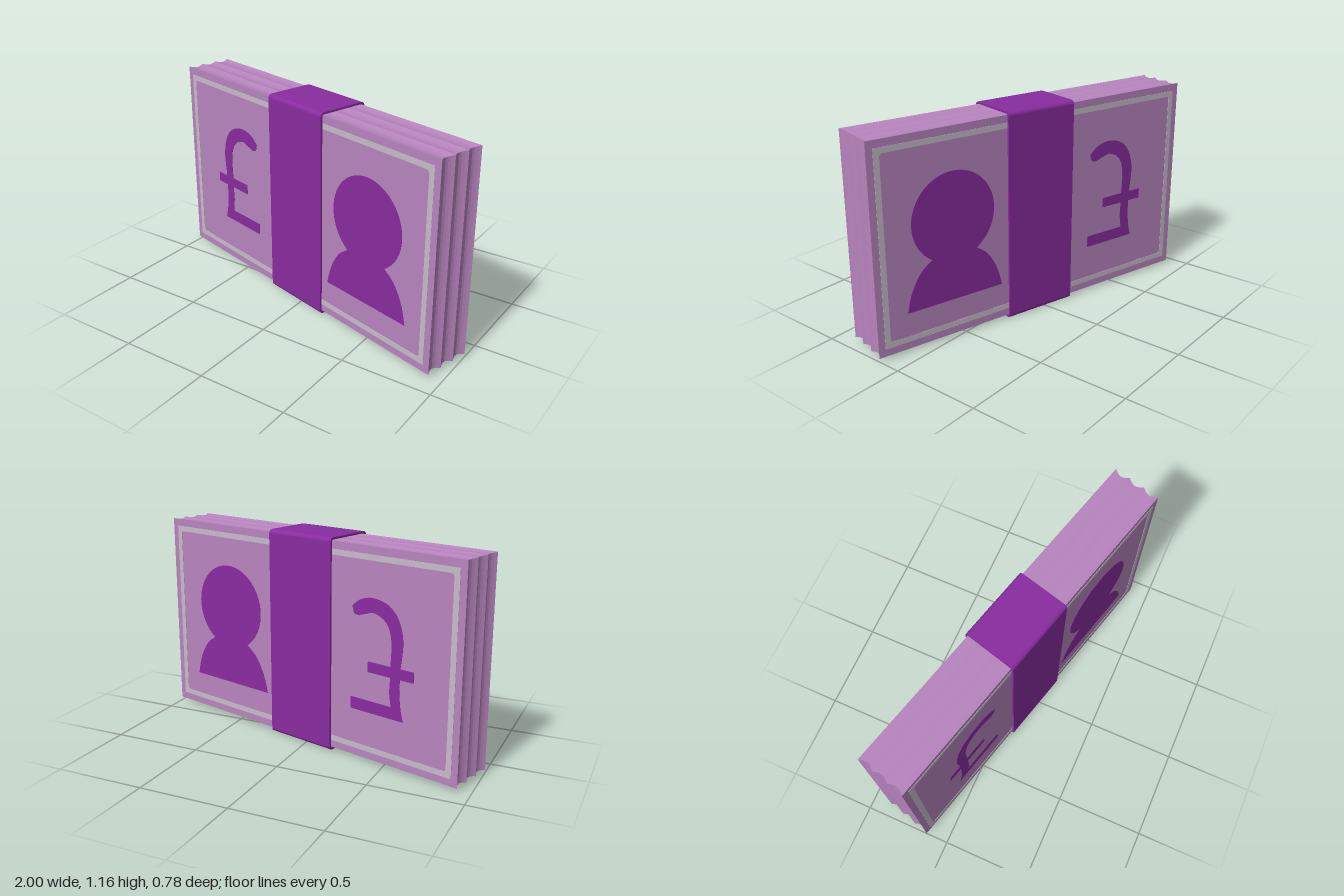
import * as THREE from 'three';

const LENGTH = 2.0, HEIGHT = 1.13, DEPTH = 0.272, MID = 0.583;
const paper = new THREE.MeshStandardMaterial({ color: 0xb885bf });
const ink = new THREE.MeshStandardMaterial({ color: 0x892ca0 });
const border = new THREE.MeshStandardMaterial({ color: 0xc8bccb });
paper.name = 'paper';
ink.name = 'purpleInk';
border.name = 'paleBorder';

// Rounded rectangle about the origin, as a shape or a hole
function roundedRect(w, h, r, Type = THREE.Shape) {
  const p = new Type(), x = w / 2, y = h / 2;
  p.moveTo(-x + r, -y);
  p.lineTo(x - r, -y).absarc(x - r, -y + r, r, -Math.PI / 2, 0);
  p.lineTo(x, y - r).absarc(x - r, y - r, r, 0, Math.PI / 2);
  p.lineTo(-x + r, y).absarc(-x + r, y - r, r, Math.PI / 2, Math.PI);
  p.lineTo(-x, -y + r).absarc(-x + r, -y + r, r, Math.PI, Math.PI * 1.5);
  return p;
}

function lines(shape, points) {
  points.forEach(([x, y]) => shape.lineTo(x, y));
}

function spline(shape, points) {
  shape.splineThru(points.map(([x, y]) => new THREE.Vector2(x, y)));
}

// Bundle with three shallow scallops across each end
function stackGeometry() {
  const geo = new THREE.BoxGeometry(LENGTH, HEIGHT, DEPTH, 1, 1, 18);
  const pos = geo.attributes.position;
  for (let i = 0; i < pos.count; i++) {
    const t = pos.getZ(i) / DEPTH + 0.5;
    const dent = Math.abs(Math.sin(t * Math.PI * 3));
    pos.setX(i, pos.getX(i) - Math.sign(pos.getX(i)) * dent * 0.019);
    pos.setY(i, pos.getY(i) - Math.sign(pos.getY(i)) * dent * 0.006);
  }
  const flat = geo.toNonIndexed();
  flat.computeVertexNormals();
  return flat;
}

// Border frame printed round the note
function frameShape() {
  const s = roundedRect(1.926, 1.05, 0.004);
  s.holes.push(roundedRect(1.864, 0.99, 0.018, THREE.Path));
  return s;
}

// Hooked stem with crossbar and foot
function markShape() {
  const s = new THREE.Shape();
  s.moveTo(-0.673, 0.28);
  lines(s, [[-0.342, 0.28], [-0.342, 0.345], [-0.597, 0.345], [-0.586, 0.42], [-0.59, 0.5],
    [-0.45, 0.5], [-0.45, 0.557], [-0.59, 0.557]]);
  spline(s, [[-0.592, 0.69], [-0.562, 0.775], [-0.49, 0.815], [-0.43, 0.803], [-0.392, 0.79]]);
  spline(s, [[-0.36, 0.797], [-0.347, 0.835]]);
  spline(s, [[-0.4, 0.875], [-0.475, 0.892], [-0.565, 0.872], [-0.63, 0.81], [-0.662, 0.7], [-0.65, 0.557]]);
  lines(s, [[-0.73, 0.557], [-0.73, 0.5], [-0.648, 0.5], [-0.647, 0.42], [-0.657, 0.34]]);
  s.closePath();
  return s;
}

// Head and shoulders silhouette
function portraitShape() {
  const s = new THREE.Shape(), cx = 0.543, cy = 0.678, r = 0.243, a = 0.988;
  s.moveTo(0.255, 0.22);
  s.lineTo(0.828, 0.22);
  spline(s, [[0.8, 0.325], [0.745, 0.42], [0.677, 0.475]]);
  s.absarc(cx, cy, r, -a, Math.PI + a, false);
  spline(s, [[0.341, 0.42], [0.286, 0.325], [0.255, 0.22]]);
  return s;
}

export function createModel() {
  const model = new THREE.Group();
  model.name = 'banknoteBundle';
  model.rotation.y = -Math.PI / 12;

  const add = (name, geo, mat, y = 0, z = 0) => {
    const mesh = new THREE.Mesh(geo, mat);
    mesh.name = name;
    mesh.position.set(0, y, z);
    model.add(mesh);
  };

  add('noteStack', stackGeometry(), paper, MID + 0.002);

  // Printed details on both broad faces
  const prints = [
    ['border', frameShape(), border, MID + 0.002],
    ['currencyMark', markShape(), ink, 0],
    ['portrait', portraitShape(), ink, 0],
  ];
  for (const [name, shape, mat, y] of prints) {
    const geo = new THREE.ExtrudeGeometry(shape, { depth: 0.004, bevelEnabled: false, curveSegments: 32 });
    add(name + 'Front', geo, mat, y, DEPTH / 2 - 0.002);
    add(name + 'Back', geo, mat, y, -DEPTH / 2 - 0.002);
  }

  // Wrapping band
  const loop = roundedRect(0.3, 1.165, 0.022);
  loop.holes.push(roundedRect(0.278, 1.143, 0.012, THREE.Path));
  const band = new THREE.ExtrudeGeometry(loop, { depth: 0.424, bevelEnabled: false, curveSegments: 6 });
  band.translate(0, 0, -0.212).rotateY(Math.PI / 2);
  add('band', band, ink, MID);

  return model;
}
